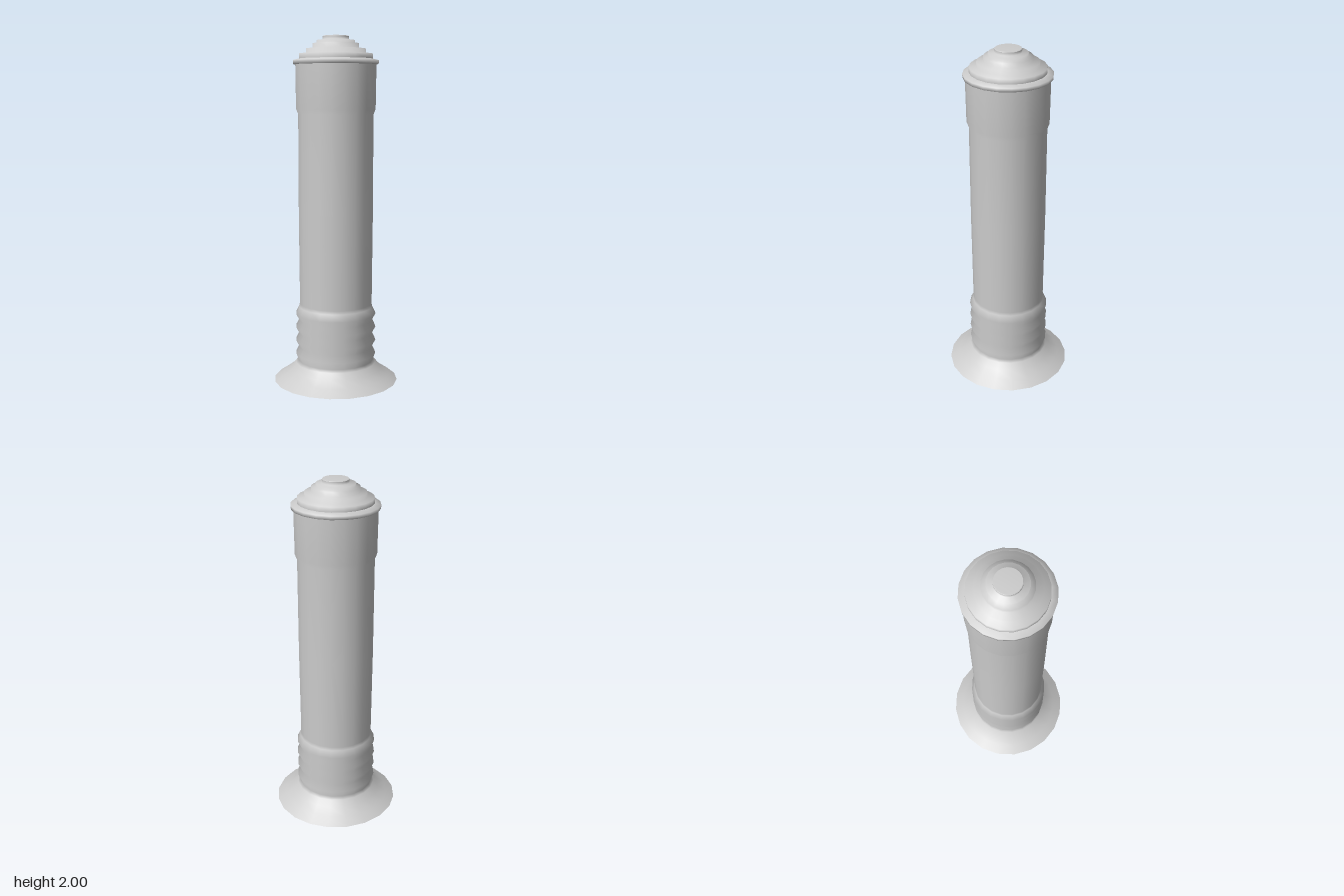
import * as THREE from 'three';

const SIDES = 20;
const material = new THREE.MeshStandardMaterial({ color: 0xcccccc });

// Turned part from [radius, height] pairs, listed bottom to top
function turned(name, profile) {
  const points = profile.map(([r, y]) => new THREE.Vector2(r, y));
  const mesh = new THREE.Mesh(new THREE.LatheGeometry(points, SIDES), material);
  mesh.name = name;
  return mesh;
}

export function createModel() {
  const post = new THREE.Group();
  post.name = 'bollard';

  // Flat underside
  post.add(turned('underside', [[0, 0], [0.363, 0]]));

  // Flared foot, ringed collar, plain shaft and slightly wider neck
  const profile = [[0.363, 0], [0.31, 0.035], [0.263, 0.07], [0.235, 0.105], [0.22, 0.12]];
  for (const y of [0.16, 0.24, 0.32, 0.4]) {
    profile.push([0.235, y], [0.215, y + 0.04]);
  }
  profile.push([0.212, 0.46], [0.216, 1.0], [0.216, 1.56], [0.228, 1.59], [0.231, 1.84]);
  post.add(turned('shaft', profile));

  // Projecting rim under the cap
  post.add(turned('rim', [[0.231, 1.84], [0.243, 1.842], [0.245, 1.863], [0.21, 1.872]]));

  // Stepped dome: each tier rises, then runs in to the next
  const tiers = [[0.21, 1.9], [0.17, 1.928], [0.133, 1.957], [0.108, 1.975], [0.074, 1.996]];
  const dome = [[0.21, 1.872]];
  tiers.forEach(([r, y], i) => {
    dome.push([r, y]);
    if (i < tiers.length - 1) dome.push([tiers[i + 1][0], y + 0.004]);
  });
  post.add(turned('dome', dome));

  // Flat crown
  post.add(turned('crown', [[0.074, 1.996], [0.07, 2], [0, 2]]));
  return post;
}
